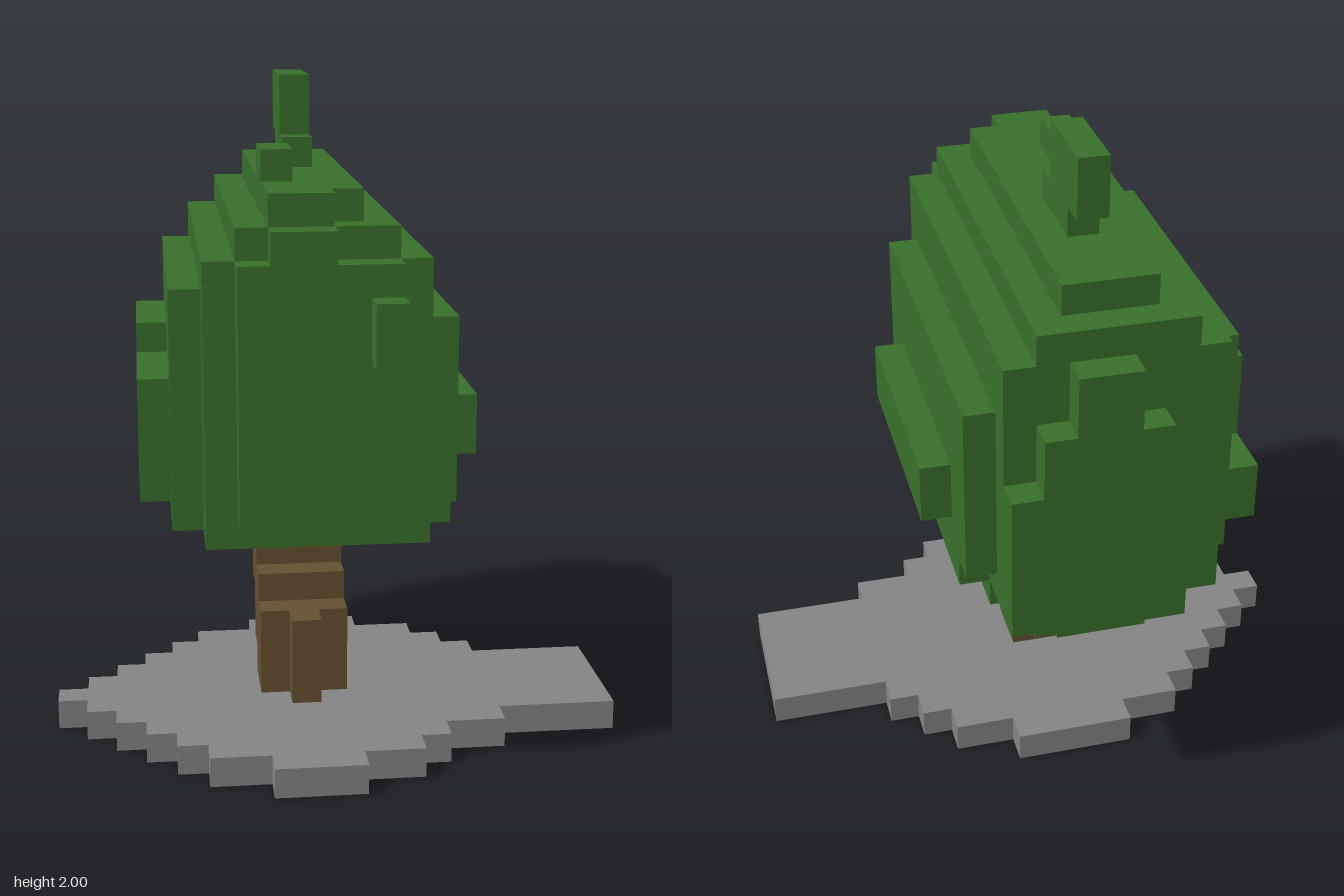
import * as THREE from 'three';
import { mergeGeometries } from 'three/addons/utils/BufferGeometryUtils.js';

const V = 2 / 22; // size of one block; x and z cells are centred on whole numbers, y cells stack from 0

// Box filling the inclusive cell ranges x0..x1, y0..y1, z0..z1
function cells(x0, x1, y0, y1, z0, z1) {
  const g = new THREE.BoxGeometry((x1 - x0 + 1) * V, (y1 - y0 + 1) * V, (z1 - z0 + 1) * V);
  return g.translate((x0 + x1) / 2 * V, (y0 + y1 + 1) / 2 * V, (z0 + z1) / 2 * V);
}

function part(name, boxes, material) {
  const mesh = new THREE.Mesh(mergeGeometries(boxes), material);
  mesh.name = name;
  return mesh;
}

export function createModel() {
  const stone = new THREE.MeshStandardMaterial({ color: 0x858585 });
  const bark = new THREE.MeshStandardMaterial({ color: 0x655033 });
  const leaf = new THREE.MeshStandardMaterial({ color: 0x3a6f2c });
  stone.name = 'stone grey';
  bark.name = 'bark brown';
  leaf.name = 'leaf green';

  // Ground slab: z range for each x column from -9 to 9
  const groundBack = [1, 0, -1, -2, -3, -4, -4, -5, -5, -5, -5, -4, -4, -3, -2, -1, -1, -1, -1];
  const groundFront = [1, 2, 3, 4, 5, 6, 6, 7, 7, 7, 6, 6, 5, 4, 4, 3, 3, 3, 3];
  const ground = groundBack.map((z0, i) => cells(i - 9, i - 9, 0, 0, z0, groundFront[i]));

  // Trunk leaning backwards in steps, with a ridge at the front
  const trunk = [
    cells(-2, 0, 1, 1, 0, 1),
    cells(-2, 0, 2, 3, -1, 1),
    cells(-1, -1, 1, 3, 2, 2),
    cells(-2, 0, 4, 4, -2, 0),
    cells(-2, 0, 5, 5, -4, -1),
  ];

  // Crown layers from y = 6 to 18: [xMin, xMax, zMin, zMax]
  const layers = [
    [-3, 1, -6, 0], [-4, 2, -7, 2], [-5, 3, -8, 6], [-5, 3, -8, 7], [-5, 3, -8, 7],
    [-5, 3, -8, 7], [-5, 3, -8, 7], [-5, 3, -8, 7], [-5, 3, -8, 7], [-5, 2, -8, 7],
    [-4, 2, -8, 7], [-3, 1, -7, 7], [-2, 0, -6, 6],
  ];
  // Depth limit of each crown column from x = -5 to 3: [zMin, zMax]
  const columns = [[-5, 5], [-7, 6], [-7, 7], [-8, 7], [-8, 7], [-8, 7], [-8, 7], [-8, 6], [-6, 5]];

  const crown = [];
  layers.forEach(([x0, x1, back, front], i) => {
    const y = i + 6;
    for (let x = x0; x <= x1; x++) {
      let [z0, z1] = columns[x + 5];
      z0 = Math.max(z0, back);
      z1 = Math.min(z1, front);
      const edge = x === x0 || x === x1;
      if (y < 9 && edge) { // rounded underside
        z0 = Math.max(z0, -5);
        z1 = Math.min(z1, [-2, 0, 4][i]);
      }
      if (y > 16 && (x < -2 || x > -1)) z1 = Math.min(z1, 23 - y); // front ridge near the top
      if (y > 12 && x === 2) z0 = Math.max(z0, -7); // stepped back end
      if (y > 14 && (x === -2 || x === 1)) z0 = Math.max(z0, -7);
      crown.push(cells(x, x, y, y, z0, z1));
    }
  });

  // Side slabs and loose clumps of leaves
  const clumps = [
    cells(4, 4, 10, 11, -4, 3),
    cells(-6, -6, 9, 10, -5, -4),
    cells(-6, -6, 9, 13, -3, 0),
    cells(-6, -6, 9, 12, 1, 4),
    cells(1, 1, 14, 15, 8, 8),
    cells(-2, -2, 19, 19, 2, 3),
    cells(-1, -1, 19, 19, -3, -1),
    cells(-1, -1, 20, 21, -4, -2),
  ];

  const tree = new THREE.Group();
  tree.name = 'blockTree';
  tree.add(
    part('ground', ground, stone),
    part('trunk', trunk, bark),
    part('crown', crown, leaf),
    part('leafClumps', clumps, leaf),
  );
  return tree;
}
